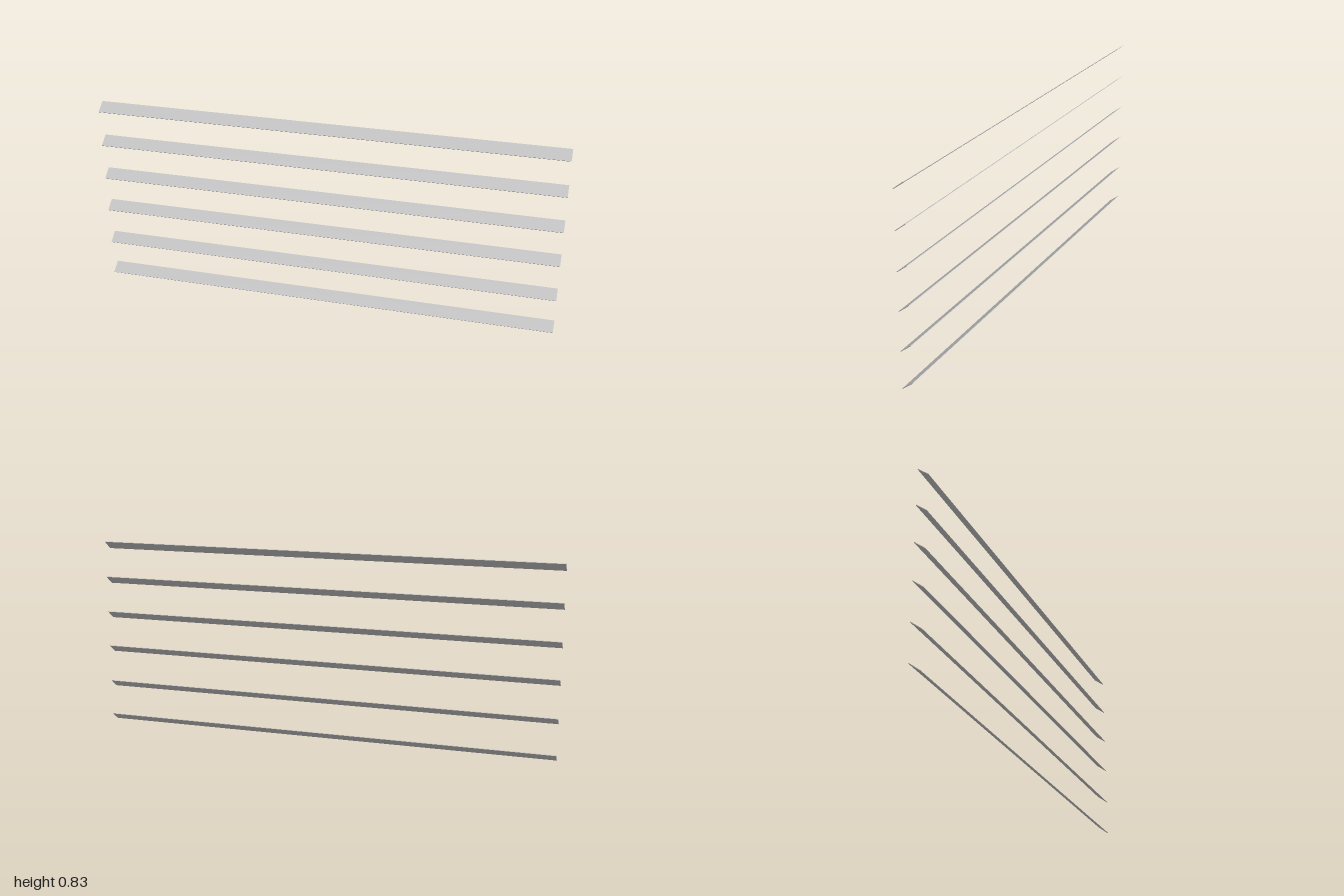
import * as THREE from 'three';

export function createModel() {
  const group = new THREE.Group();
  group.name = 'louvre';
  const material = new THREE.MeshStandardMaterial({ color: 0xcccccc });

  // Thin slats, tilted so the front edge hangs lower than the back edge
  const slatGeometry = new THREE.BoxGeometry(2, 0.0025, 0.056);
  const heights = [0.019, 0.176, 0.339, 0.496, 0.654, 0.811];
  heights.forEach((y, i) => {
    const slat = new THREE.Mesh(slatGeometry, material);
    slat.name = `slat${i + 1}`;
    slat.position.y = y;
    slat.rotation.x = THREE.MathUtils.degToRad(37.5);
    group.add(slat);
  });

  return group;
}
